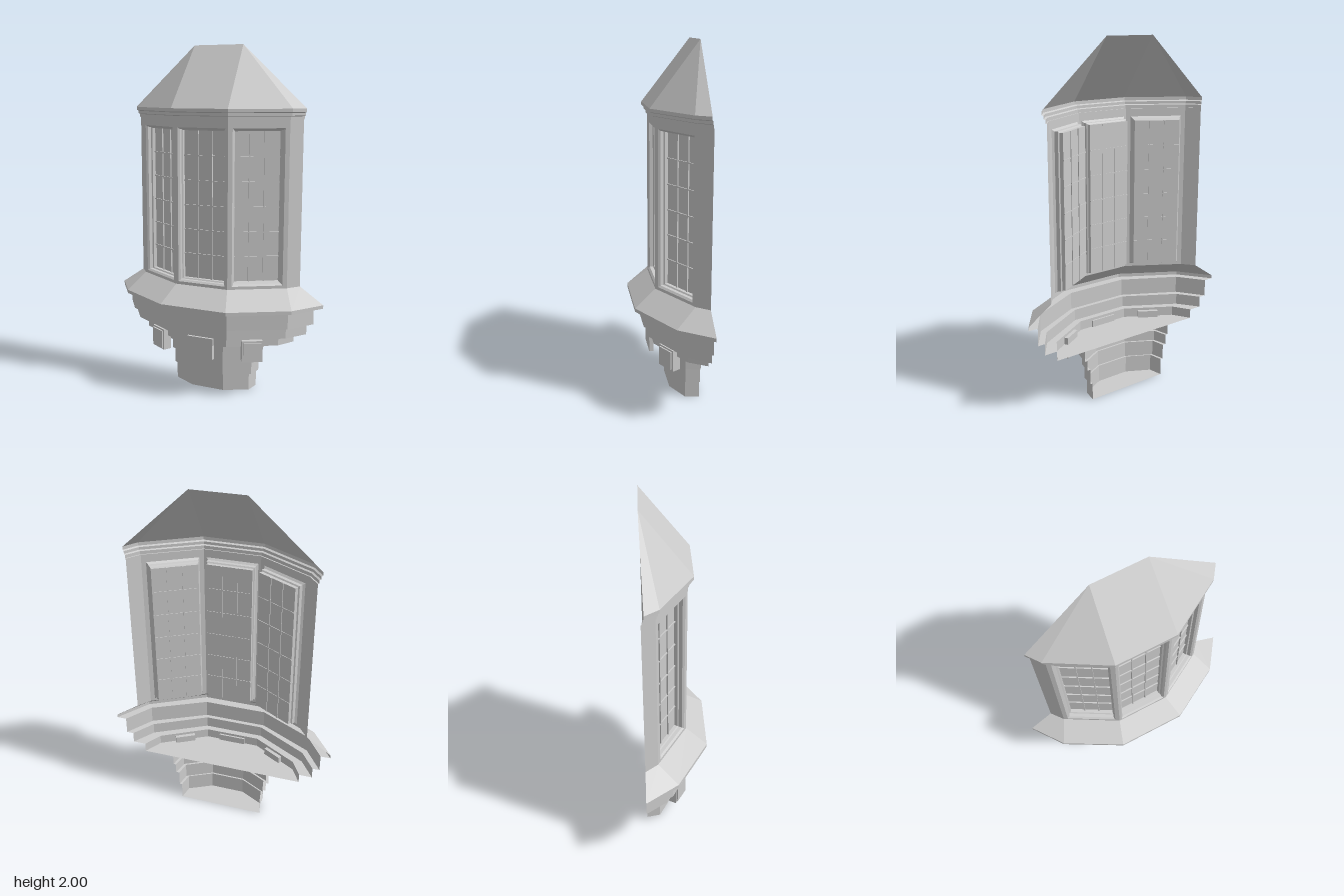
import * as THREE from 'three';

const BACK = -0.18;
const mat = new THREE.MeshStandardMaterial({ color: 0xcccccc, flatShading: true, side: THREE.DoubleSide });

function add(parent, name, geometry) {
  const mesh = new THREE.Mesh(geometry, mat);
  mesh.name = name;
  parent.add(mesh);
  return mesh;
}

// Skin between successive rows of points, each [x, y, z]
function loft(rows, closed = false) {
  const pos = [];
  for (let i = 0; i < rows.length - 1; i++) {
    const n = rows[i].length;
    for (let j = 0; j < (closed ? n : n - 1); j++) {
      const k = (j + 1) % n;
      const a = rows[i][j], b = rows[i][k], c = rows[i + 1][k], d = rows[i + 1][j];
      pos.push(...a, ...b, ...c, ...a, ...c, ...d);
    }
  }
  const g = new THREE.BufferGeometry();
  g.setAttribute('position', new THREE.Float32BufferAttribute(pos, 3));
  g.computeVertexNormals();
  return g;
}

// Half plan (front, middle, rear corner) mirrored to a row of six points at height y
function row(y, half) {
  const left = half.map(([x, z]) => [x, y, z]);
  const right = half.map(([x, z]) => [-x, y, z]).reverse();
  return [...right, ...left];
}
const flat = (y, half) => row(y, half.map(([x]) => [x, BACK]));

// Half plans of each tier
const base0 = [[0.1, -0.03], [0.235, -0.1], [0.25, BACK]];
const base1 = [[0.1, -0.02], [0.25, -0.1], [0.265, BACK]];
const base2 = [[0.105, -0.01], [0.265, -0.095], [0.285, BACK]];
const base3 = [[0.11, 0], [0.28, -0.09], [0.3, BACK]];
const tier1 = [[0.16, 0.07], [0.42, -0.08], [0.48, BACK]];
const tier2 = [[0.175, 0.105], [0.47, -0.06], [0.555, BACK]];
const tier3 = [[0.185, 0.13], [0.49, -0.03], [0.595, BACK]];
const ledge = [[0.2, 0.18], [0.52, 0], [0.65, BACK]];
const body = [[0.16, 0.06], [0.455, -0.11], [0.51, BACK]];
const cornice1 = [[0.162, 0.067], [0.46, -0.105], [0.515, -0.175]];
const cornice2 = [[0.166, 0.078], [0.468, -0.098], [0.523, -0.17]];
const eave = [[0.17, 0.09], [0.475, -0.09], [0.53, -0.165]];
const ridge = [[0.15, BACK], [0.15, BACK], [0.15, BACK]];

const WALL_BOTTOM = 0.645, WALL_TOP = 1.59;
const OPEN_BOTTOM = 0.662, OPEN_TOP = 1.545, OPEN_HALF = 0.145;

// One wall face between two plan points, with moulded recess, pane and glazing bars
function windowBay(name, [x0, z0], [x1, z1]) {
  const bay = new THREE.Group();
  bay.name = name;
  const half = Math.hypot(x1 - x0, z1 - z0) / 2;
  bay.position.set((x0 + x1) / 2, 0, (z0 + z1) / 2);
  bay.rotation.y = Math.atan2(z0 - z1, x1 - x0);

  const rect = (inset, z) => {
    const w = OPEN_HALF - inset, b = OPEN_BOTTOM + inset, t = OPEN_TOP - inset;
    return [[-w, b, z], [w, b, z], [w, t, z], [-w, t, z]];
  };
  const outer = [[-half, WALL_BOTTOM, 0], [half, WALL_BOTTOM, 0], [half, WALL_TOP, 0], [-half, WALL_TOP, 0]];
  add(bay, 'wall', loft([outer, rect(0, 0)], true));
  add(bay, 'windowFrame', loft([rect(0, 0), rect(0.01, -0.01), rect(0.01, -0.03),
    rect(0.017, -0.035), rect(0.017, -0.055)], true));

  const w = (OPEN_HALF - 0.017) * 2, b = OPEN_BOTTOM + 0.017, h = OPEN_TOP - OPEN_BOTTOM - 0.034;
  add(bay, 'pane', new THREE.PlaneGeometry(w, h)).position.set(0, b + h / 2, -0.055);
  for (let i = 1; i < 3; i++) {
    add(bay, 'verticalBar', new THREE.BoxGeometry(0.007, h, 0.012))
      .position.set(-w / 2 + (w * i) / 3, b + h / 2, -0.053);
  }
  for (let i = 1; i < 6; i++) {
    add(bay, 'horizontalBar', new THREE.BoxGeometry(w, 0.007, 0.01))
      .position.set(0, b + (h * i) / 6, -0.053);
  }
  return bay;
}

export function createModel() {
  const model = new THREE.Group();
  model.name = 'orielWindow';

  // Stepped foot with a closed bottom, open towards the building
  add(model, 'foot', loft([flat(0, base0), row(0, base0), row(0.1, base0), row(0.1, base1),
    row(0.19, base1), row(0.19, base2), row(0.25, base2), row(0.25, base3), row(0.31, base3)]));

  // Corbelled steps above a closed soffit
  add(model, 'corbel', loft([flat(0.31, tier1), row(0.31, tier1), row(0.365, tier1), row(0.365, tier2),
    row(0.43, tier2), row(0.43, tier3), row(0.53, tier3)]));

  // Sloping ledge
  add(model, 'ledge', loft([row(0.53, tier3), row(0.53, ledge), row(0.55, ledge), row(WALL_BOTTOM, body)]));

  // Brackets under the corbel
  add(model, 'frontBracket', new THREE.BoxGeometry(0.16, 0.125, 0.025)).position.set(0, 0.2875, 0.0725);
  for (const s of [-1, 1]) {
    const bracket = new THREE.Group();
    bracket.name = s > 0 ? 'leftBracket' : 'rightBracket';
    add(bracket, 'block', new THREE.BoxGeometry(0.12, 0.125, 0.05));
    add(bracket, 'raisedPanel', new THREE.BoxGeometry(0.1, 0.105, 0.012)).position.z = 0.027;
    bracket.position.set(s * 0.288, 0.2875, 0);
    bracket.rotation.y = s * Math.PI / 6;
    model.add(bracket);
  }

  // Three window faces and the plain returns
  const [front, side, rear] = body;
  const mirror = ([x, z]) => [-x, z];
  model.add(windowBay('rightWindow', mirror(side), mirror(front)));
  model.add(windowBay('frontWindow', mirror(front), front));
  model.add(windowBay('leftWindow', front, side));
  const wall = [WALL_BOTTOM, WALL_TOP].map((y) => row(y, [side, rear]));
  add(model, 'leftReturn', loft(wall.map((r) => r.slice(2))));
  add(model, 'rightReturn', loft(wall.map((r) => r.slice(0, 2))));

  // Stepped cornice
  add(model, 'cornice', loft([row(1.59, body), row(1.59, cornice1), row(1.608, cornice1),
    row(1.612, cornice2), row(1.627, cornice2), row(1.632, eave), row(1.65, eave)]));

  // Hipped roof rising to a ridge at the back
  add(model, 'roof', loft([row(1.65, eave), row(2, ridge)]));

  return model;
}
